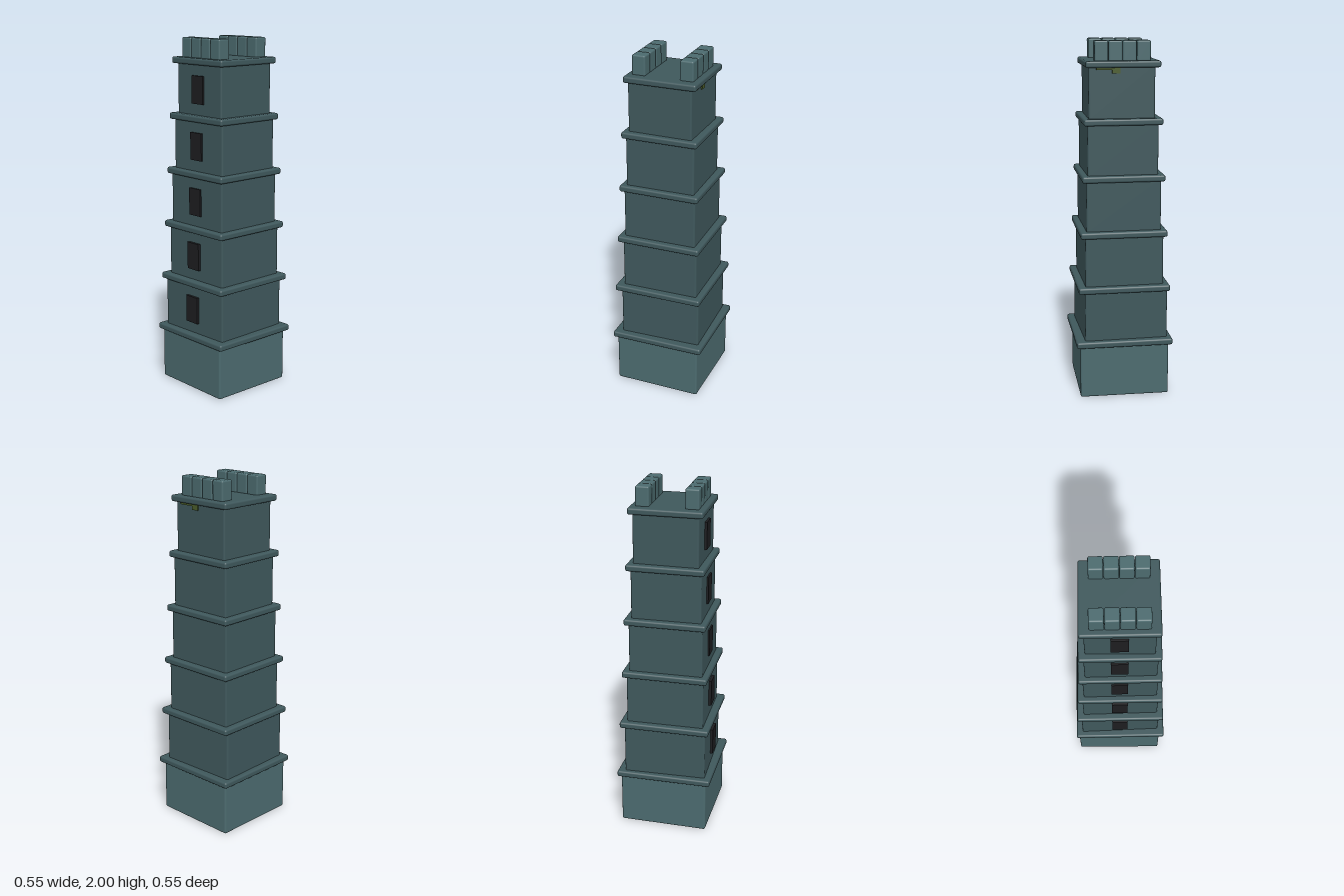
import * as THREE from 'three';
import { RoundedBoxGeometry } from 'three/addons/geometries/RoundedBoxGeometry.js';

const paint = (color) => new THREE.MeshStandardMaterial({ color });
const stone = paint(0x3f585c);
const paleStone = paint(0x4c6b6f);
const dark = paint(0x1d1d20);
const moss = paint(0x4a5c2a);

// Rounded block standing with its underside at y
function block(name, parent, material, w, h, d, x, y, z, radius = 0.008) {
  const mesh = new THREE.Mesh(new RoundedBoxGeometry(w, h, d, 3, radius), material);
  mesh.name = name;
  mesh.position.set(x, y + h / 2, z);
  parent.add(mesh);
  return mesh;
}

export function createModel() {
  const tower = new THREE.Group();
  tower.name = 'tower';

  const step = 0.3113; // storey height
  const ledgeHeight = 0.036;
  // Storeys, each slightly shifted and turned: width, x, z, turn
  const storeys = [
    [0.502, -0.004, 0, -0.012],
    [0.468, -0.007, -0.003, 0.026],
    [0.44, -0.002, -0.003, 0.012],
    [0.418, -0.001, 0, 0.008],
    [0.394, 0.002, 0, 0.01],
    [0.366, 0.002, 0, -0.016],
  ];
  const ledgeWidths = [0.545, 0.515, 0.486, 0.46, 0.436, 0.412];
  const windowFronts = [0, 0.246, 0.233, 0.218, 0.207, 0.196];

  storeys.forEach(([w, x, z, turn], i) => {
    const floor = i === 0 ? 0.004 : 0.328 + (i - 1) * step;
    const ledgeTop = 0.336 + i * step;
    const wall = block('storey', tower, i === 0 ? paleStone : stone,
      w, ledgeTop - 0.018 - floor, w, x, floor, z, 0.01);
    wall.rotation.y = turn;
    block('ledge', tower, stone, ledgeWidths[i], ledgeHeight, ledgeWidths[i],
      -0.001, ledgeTop - ledgeHeight, -0.001, 0.011);

    // Dark window on the front of every upper storey
    if (i > 0) {
      const pane = new THREE.Mesh(new THREE.BoxGeometry(0.092, 0.154, 0.022), dark);
      pane.name = 'window';
      pane.position.set(-0.003, 0.476 + (i - 1) * step, windowFronts[i] - 0.011);
      tower.add(pane);
    }
  });

  // Battlements along the front and back edges of the roof
  for (const z of [0.135, -0.137]) {
    for (let i = 0; i < 4; i++) {
      block('merlon', tower, paleStone, 0.0755, 0.112, 0.0765, -0.1168 + i * 0.0775, 1.888, z, 0.009);
    }
  }

  // Moss hanging below the top ledge at the back
  const patches = [[0.1, 0.09, 0.018, 1.845], [0.037, 0.045, 0.036, 1.825]];
  for (const [x, w, h, y] of patches) {
    const patch = new THREE.Mesh(new THREE.BoxGeometry(w, h, 0.012), moss);
    patch.name = 'mossPatch';
    patch.position.set(x, y + h / 2, -0.184);
    tower.add(patch);
  }
  return tower;
}
